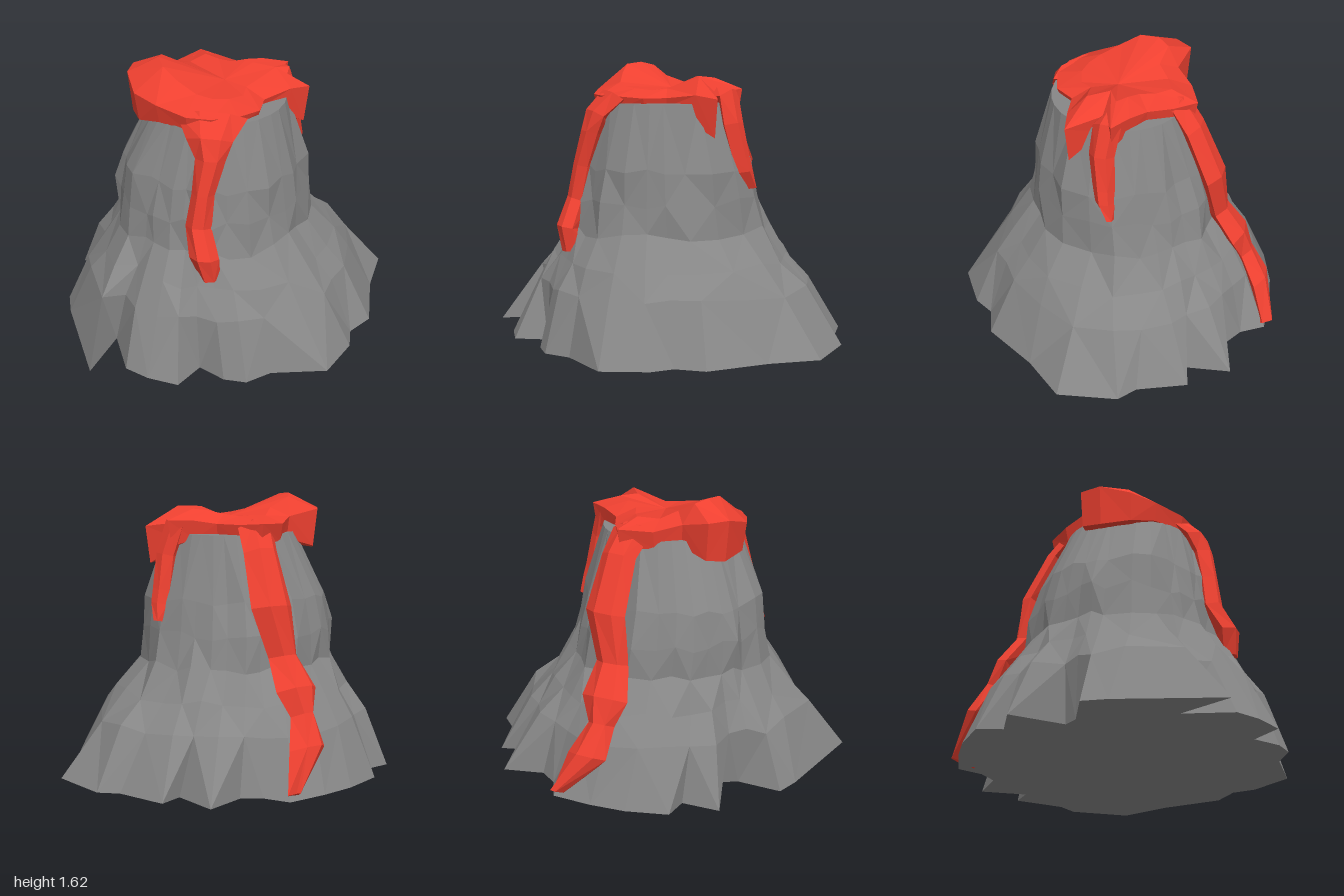
import * as THREE from 'three';

const rockMaterial = new THREE.MeshStandardMaterial({ color: 0x878787, flatShading: true });
const lavaMaterial = new THREE.MeshStandardMaterial({ color: 0xee4030, flatShading: true });

// Small seeded noise in the range -1..1
function makeNoise(seed) {
  return () => {
    seed = (seed * 16807) % 2147483647;
    return (seed / 2147483647) * 2 - 1;
  };
}

// Skin closed loops of equal length, listed from bottom to top.
// Each loop runs from +x towards +z; a one-point cap closes an end.
function skin(loops, bottom, top) {
  const positions = [];
  const tri = (a, b, c) => positions.push(...a, ...b, ...c);
  const n = loops[0].length;
  for (let i = 0; i < n; i++) {
    const j = (i + 1) % n;
    for (let k = 0; k < loops.length - 1; k++) {
      const [a, b, c, d] = [loops[k][i], loops[k][j], loops[k + 1][j], loops[k + 1][i]];
      if ((i + k) % 2) {
        tri(a, d, b);
        tri(b, d, c);
      } else {
        tri(a, d, c);
        tri(a, c, b);
      }
    }
    if (bottom) tri(bottom, loops[0][i], loops[0][j]);
    if (top) tri(top, loops.at(-1)[j], loops.at(-1)[i]);
  }
  const geometry = new THREE.BufferGeometry();
  geometry.setAttribute('position', new THREE.Float32BufferAttribute(positions, 3));
  geometry.computeVertexNormals();
  return geometry;
}

function addMesh(group, name, geometry, material) {
  const mesh = new THREE.Mesh(geometry, material);
  mesh.name = name;
  group.add(mesh);
}

// Ragged foot of the mountain: x, z
const foot = [
  [0.1, -1], [0.27, -0.79], [0.36, -0.9], [0.6, -0.72], [0.73, -0.7], [0.96, -0.43], [0.91, -0.13], [0.91, 0.24],
  [0.8, 0.38], [0.8, 0.52], [0.68, 0.77], [0.36, 0.83], [0.23, 0.93], [0.1, 0.92], [-0.05, 0.83], [-0.15, 1],
  [-0.33, 0.96], [-0.47, 0.89], [-0.58, 0.62], [-0.67, 0.94], [-0.92, 0.38], [-0.96, 0.24], [-0.74, 0.1], [-0.7, 0.02],
  [-0.96, -0.18], [-0.78, -0.31], [-0.85, -0.44], [-0.69, -0.63], [-0.53, -0.76], [-0.33, -0.89], [-0.19, -0.82], [-0.06, -0.82],
];

// Rings above the foot: y, centre x, centre z, radius x, radius z, pull to foot, roughness
const rings = [
  [0.33, -0.05, 0.04, 0.72, 0.72, 0.36, 0.05],
  [0.48, -0.055, 0.05, 0.65, 0.64, 0.17, 0.06],
  [0.65, -0.06, 0.05, 0.565, 0.565, 0.05, 0.06],
  [0.83, -0.065, 0.06, 0.565, 0.545, 0, 0.065],
  [1.02, -0.06, 0.07, 0.53, 0.505, 0, 0.055],
  [1.39, -0.025, 0.08, 0.385, 0.4, 0, 0],
];

function mountainLoops() {
  const noise = makeNoise(4711);
  const n = foot.length;
  const full = Math.PI * 2;
  // Column directions follow the foot, evened out so that they never cross
  const raw = foot.map(([x, z], i) => {
    const a = Math.atan2(z, x);
    return i > 16 && a < 0 ? a + full : a;
  });
  const angles = raw.map((a, i) => {
    const before = i ? raw[i - 1] : raw[n - 1] - full;
    const after = i < n - 1 ? raw[i + 1] : raw[0] + full;
    return (before + a + after) / 3;
  });
  const flutes = angles.map(() => noise());
  const loops = [foot.map(([x, z]) => [x, 0, z])];
  for (const [y, cx, cz, rx, rz, pull, rough] of rings) {
    loops.push(foot.map(([fx, fz], i) => {
      const r = 1 + rough * (0.8 * flutes[i] + 0.6 * noise());
      const x = cx + Math.cos(angles[i]) * rx * r;
      const z = cz + Math.sin(angles[i]) * rz * r;
      const lift = rough * 0.4 * noise();
      return [x + (fx - x) * pull, y + lift, z + (fz - z) * pull];
    }));
  }
  return loops;
}

// Lava cap rim: x, z, underside y, edge y, crest y
const capRim = [
  [0.48, -0.02, 1.2, 1.42, 1.54], [0.38, 0.07, 1.27, 1.44, 1.51], [0.24, 0.19, 1.37, 1.42, 1.47], [0.23, 0.33, 1.37, 1.42, 1.46],
  [0.12, 0.45, 1.36, 1.43, 1.47], [-0.02, 0.5, 1.33, 1.43, 1.48], [-0.16, 0.49, 1.34, 1.43, 1.5], [-0.34, 0.4, 1.34, 1.45, 1.55],
  [-0.48, 0.3, 1.3, 1.47, 1.6], [-0.55, 0.13, 1.28, 1.52, 1.61], [-0.54, 0, 1.3, 1.52, 1.59], [-0.37, -0.06, 1.35, 1.48, 1.53],
  [-0.32, -0.22, 1.35, 1.45, 1.49], [-0.2, -0.38, 1.34, 1.46, 1.5], [-0.07, -0.32, 1.36, 1.45, 1.49], [0.06, -0.24, 1.37, 1.45, 1.5],
  [0.2, -0.24, 1.36, 1.47, 1.52], [0.34, -0.24, 1.32, 1.47, 1.53], [0.27, -0.1, 1.34, 1.45, 1.54],
];

function lavaCap() {
  const [cx, cz] = [-0.06, 0.06];
  const loop = (scale, height) => capRim.map((p) => [cx + (p[0] - cx) * scale, p[height], cz + (p[1] - cz) * scale]);
  return skin([loop(0.95, 2), loop(1, 3), loop(0.64, 4)], [cx, 1.36, cz], [cx + 0.06, 1.47, cz]);
}

// Lava stream: ridged five-sided sections along an outer path of x, y, z, half width
function lavaStream(path, thickness) {
  const points = path.map((p) => new THREE.Vector3(p[0], p[1], p[2]));
  const section = [[-1, -0.45], [-0.3, 0], [0.55, -0.08], [1, -0.5], [0, -1.2]];
  const loops = points.map((p, i) => {
    const along = points[Math.min(i + 1, points.length - 1)].clone().sub(points[Math.max(i - 1, 0)]).normalize();
    const side = new THREE.Vector3(p.z, 0, -p.x).normalize();
    const out = new THREE.Vector3().crossVectors(along, side).normalize();
    return section.map(([s, o]) => (
      p.clone().addScaledVector(side, s * path[i][3]).addScaledVector(out, o * thickness).toArray()
    ));
  });
  const middle = (loop) => loop.reduce((m, q) => m.map((v, k) => v + q[k] / loop.length), [0, 0, 0]);
  // Sections run down the slope, so turn them to run upwards, in the order skin expects
  loops.reverse();
  loops.forEach((loop) => loop.reverse());
  return skin(loops, middle(loops[0]), middle(loops.at(-1)));
}

const streams = {
  frontLavaStream: [
    [-0.03, 1.46, 0.46, 0.2], [-0.03, 1.35, 0.57, 0.13], [-0.02, 1.23, 0.61, 0.085], [-0.06, 1.03, 0.65, 0.065],
    [-0.085, 0.84, 0.68, 0.075], [-0.04, 0.68, 0.76, 0.085], [-0.01, 0.53, 0.74, 0.06],
  ],
  backLavaStream: [
    [-0.16, 1.48, -0.2, 0.13], [-0.18, 1.48, -0.29, 0.12], [-0.21, 1.33, -0.41, 0.11], [-0.27, 1.02, -0.54, 0.13],
    [-0.34, 0.74, -0.53, 0.1], [-0.41, 0.58, -0.62, 0.14], [-0.44, 0.44, -0.66, 0.08], [-0.46, 0.28, -0.77, 0.12],
    [-0.37, 0.06, -0.92, 0.035],
  ],
  leftLavaStream: [
    [0.24, 1.48, -0.14, 0.08], [0.34, 1.47, -0.19, 0.08], [0.4, 1.28, -0.2, 0.075], [0.42, 1.08, -0.24, 0.065],
    [0.43, 1.0, -0.26, 0.06], [0.42, 0.9, -0.3, 0.03],
  ],
};

export function createModel() {
  const model = new THREE.Group();
  model.name = 'volcano';

  // Rock cone with a flat crater top
  addMesh(model, 'mountain', skin(mountainLoops(), null, [-0.025, 1.39, 0.08]), rockMaterial);

  // Flat underside
  const outline = new THREE.Shape(foot.map(([x, z]) => new THREE.Vector2(x, z)));
  addMesh(model, 'underside', new THREE.ShapeGeometry(outline).rotateX(Math.PI / 2), rockMaterial);

  // Lava over the crater and down the slopes
  addMesh(model, 'lavaCap', lavaCap(), lavaMaterial);
  for (const [name, path] of Object.entries(streams)) {
    addMesh(model, name, lavaStream(path, 0.13), lavaMaterial);
  }
  return model;
}
